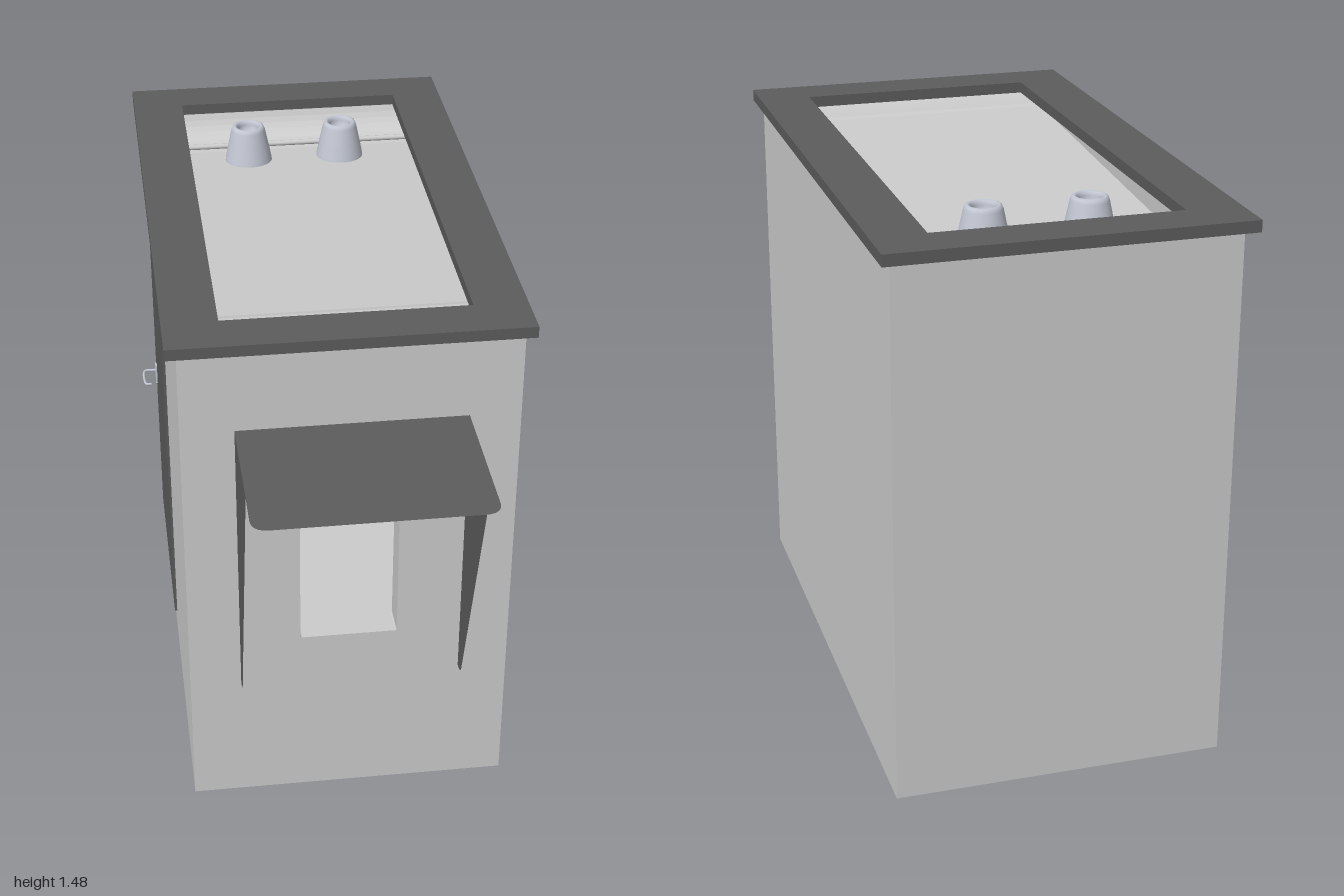
import * as THREE from 'three';

const grey = new THREE.MeshStandardMaterial({ color: 0xcccccc });
const dark = new THREE.MeshStandardMaterial({ color: 0x5c5c5c });
const darkSheet = new THREE.MeshStandardMaterial({ color: 0x5c5c5c, side: THREE.DoubleSide });
const metal = new THREE.MeshStandardMaterial({ color: 0xc4c8d4, side: THREE.DoubleSide });

// Body extents and wall thickness
const X0 = -0.43, X1 = 0.45, Z0 = -0.97, Z1 = 0.56, TOP = 1.445, T = 0.085;

function add(parent, name, geometry, material) {
  const mesh = new THREE.Mesh(geometry, material);
  mesh.name = name;
  parent.add(mesh);
  return mesh;
}

// Box given by its two opposite corners
function span(x0, x1, y0, y1, z0, z1) {
  return new THREE.BoxGeometry(x1 - x0, y1 - y0, z1 - z0)
    .translate((x0 + x1) / 2, (y0 + y1) / 2, (z0 + z1) / 2);
}

// Rectangle with a rounding radius per corner pair: r0 on the low edge, r1 on the high edge
function rect(x0, x1, y0, y1, r0 = 0, r1 = r0, PathType = THREE.Shape) {
  const p = new PathType();
  p.moveTo(x0 + r0, y0);
  p.lineTo(x1 - r0, y0);
  if (r0) p.quadraticCurveTo(x1, y0, x1, y0 + r0);
  p.lineTo(x1, y1 - r1);
  if (r1) p.quadraticCurveTo(x1, y1, x1 - r1, y1);
  p.lineTo(x0 + r1, y1);
  if (r1) p.quadraticCurveTo(x0, y1, x0, y1 - r1);
  p.lineTo(x0, y0 + r0);
  if (r0) p.quadraticCurveTo(x0, y0, x0 + r0, y0);
  return p;
}

const extrude = (shape, depth) =>
  new THREE.ExtrudeGeometry(shape, { depth, bevelEnabled: false, curveSegments: 8 });

function createBody() {
  const body = new THREE.Group();
  body.name = 'body';

  // Front wall with the serving window
  const front = rect(X0, X1, 0, TOP);
  front.holes.push(rect(-0.125, 0.14, 0.53, 0.945, 0.006, 0.006, THREE.Path));
  add(body, 'frontWall', extrude(front, T).translate(0, 0, Z1 - T), grey);

  add(body, 'backWall', span(X0, X1, 0, TOP, Z0, Z0 + T), grey);
  add(body, 'leftWall', span(X1 - T, X1, 0, TOP, Z0 + T, Z1 - T), grey);
  add(body, 'rightWall', span(X0, X0 + T, 0, TOP, Z0 + T, Z1 - T), grey);
  add(body, 'floor', span(X0 + T, X1 - T, 0, 0.06, Z0 + T, Z1 - T), grey);

  // Roof deck falling to the rear, coved up at both ends
  const deck = new THREE.Shape();
  deck.moveTo(Z0 + T, 1.3);
  deck.lineTo(Z1 - T, 1.3);
  deck.lineTo(Z1 - T, 1.445);
  deck.quadraticCurveTo(0.42, 1.435, 0.37, 1.433);
  deck.lineTo(0.35, 1.428);
  deck.lineTo(-0.77, 1.365);
  deck.quadraticCurveTo(-0.86, 1.365, Z0 + T, 1.44);
  deck.closePath();
  const deckGeometry = extrude(deck, X1 - X0 - 2 * T).rotateY(-Math.PI / 2);
  add(body, 'roofDeck', deckGeometry.translate(X1 - T, 0, 0), grey);

  // Raised seam across the low end of the deck
  const seam = new THREE.CylinderGeometry(0.008, 0.008, X1 - X0 - 2 * T, 12);
  seam.rotateZ(Math.PI / 2).translate((X0 + X1) / 2, 1.378, -0.782);
  add(body, 'roofSeam', seam, grey);
  return body;
}

function createAwning() {
  const awning = new THREE.Group();
  awning.name = 'awning';
  // Thin horizontal canopy with rounded outer corners
  const canopy = new THREE.ShapeGeometry(rect(-0.29, 0.315, Z1, 1, 0, 0.045), 8);
  add(awning, 'canopy', canopy.rotateX(Math.PI / 2).translate(0, 1.213, 0), darkSheet);

  // Tapered side brackets
  const side = new THREE.Shape();
  side.moveTo(Z1, 1.213);
  side.lineTo(Z1, 0.39);
  side.lineTo(0.575, 0.392);
  side.quadraticCurveTo(0.6, 0.394, 0.61, 0.42);
  side.lineTo(0.862, 1.213);
  side.closePath();
  for (const [name, x] of [['rightBracket', -0.29], ['leftBracket', 0.315]]) {
    const bracket = new THREE.ShapeGeometry(side, 8).rotateY(-Math.PI / 2);
    add(awning, name, bracket.translate(x, 0, 0), darkSheet);
  }
  return awning;
}

function createDoor() {
  const door = new THREE.Group();
  door.name = 'door';
  add(door, 'doorPanel', span(-0.437, X0, 0.088, 1.265, -0.79, -0.17), dark);
  add(door, 'handlePlate', span(-0.442, -0.437, 0.587, 0.652, -0.745, -0.725), metal);
  // Bent lever
  const path = new THREE.CatmullRomCurve3([
    [-0.44, -0.735], [-0.47, -0.735], [-0.478, -0.727],
    [-0.478, -0.66], [-0.474, -0.651], [-0.46, -0.65],
  ].map(([x, z]) => new THREE.Vector3(x, 0.63, z)), false, 'centripetal');
  add(door, 'handleLever', new THREE.TubeGeometry(path, 32, 0.004, 8), metal);
  return door;
}

function createVent(x) {
  // Tapered chimney with a rounded rim and a sunken mouth
  const profile = [
    [0.07, 0], [0.068, 0.015], [0.05, 0.1], [0.046, 0.11], [0.04, 0.113],
    [0.034, 0.11], [0.031, 0.1], [0.031, 0.075], [0, 0.075],
  ].map(([r, y]) => new THREE.Vector2(r, y));
  const vent = new THREE.Mesh(new THREE.LatheGeometry(profile, 32), metal);
  vent.name = 'roofVent';
  vent.position.set(x, 1.366, -0.7);
  return vent;
}

export function createModel() {
  const model = new THREE.Group();
  model.name = 'kiosk';
  model.add(createBody(), createAwning(), createDoor());

  // Overhanging roof frame around the sunken deck
  const frame = rect(-0.46, 0.475, -1, 0.585);
  frame.holes.push(rect(-0.315, 0.333, -0.875, 0.455, 0, 0, THREE.Path));
  const frameGeometry = extrude(frame, 0.031).rotateX(Math.PI / 2).translate(0, 1.476, 0);
  add(model, 'roofFrame', frameGeometry, dark);

  for (const x of [-0.13, 0.145]) model.add(createVent(x));
  return model;
}
